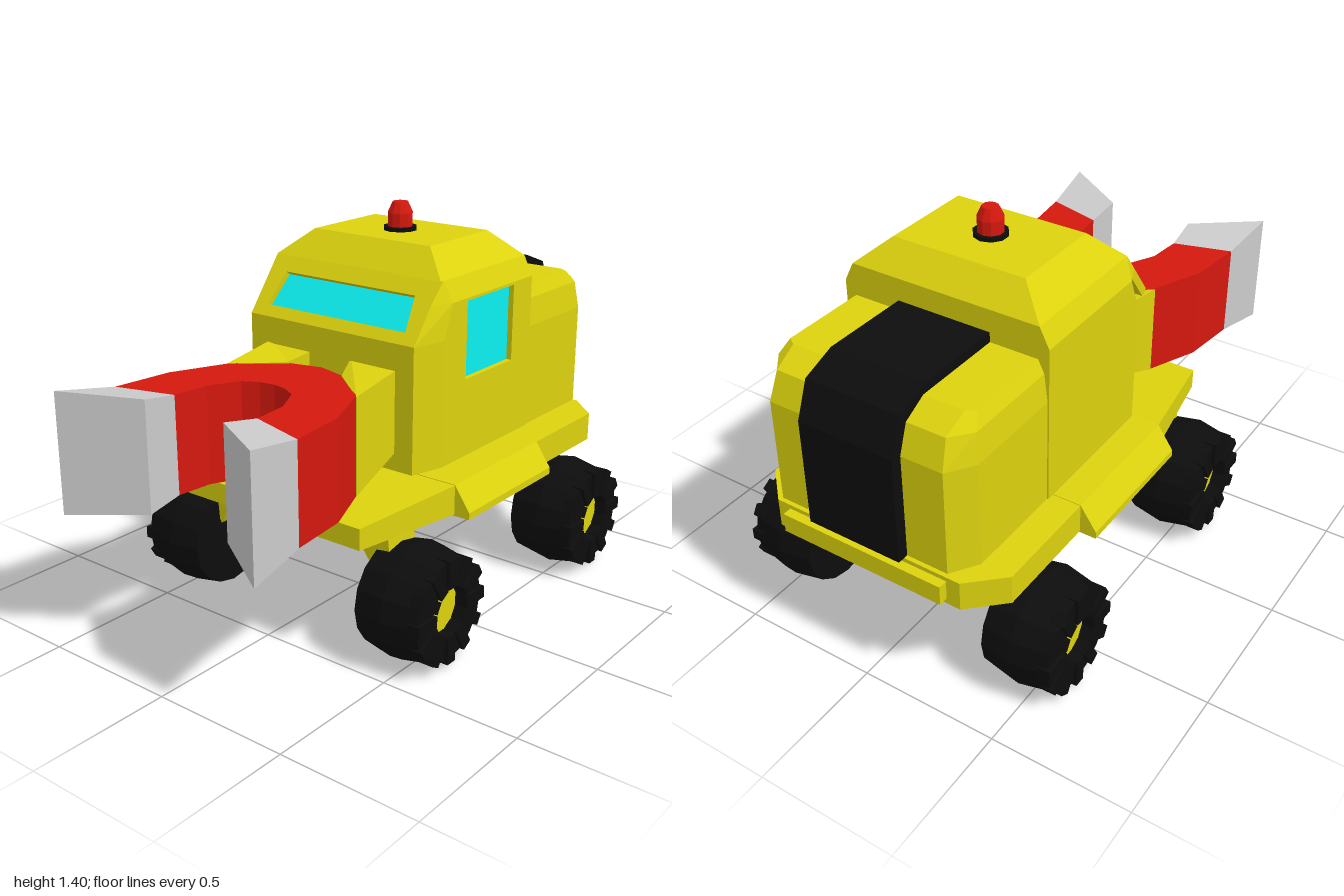
import * as THREE from 'three';

const mat = (color) => new THREE.MeshStandardMaterial({ color, flatShading: true });
const yellow = mat(0xdcd20e), black = mat(0x0d0d0d), red = mat(0xd4180e), cyan = mat(0x0cf0f0), grey = mat(0xcccccc);

// Skin a list of even-sided rings, each counter-clockwise seen from the far end; skip(i, j) leaves a face open
function loft(rings, skip = () => false) {
  const pos = [], n = rings[0].length;
  const quad = (a, b, c, d) => pos.push(...a, ...b, ...c, ...a, ...c, ...d);
  for (let i = 0; i < rings.length - 1; i++) {
    for (let j = 0; j < n; j++) {
      const k = (j + 1) % n;
      if (!skip(i, j)) quad(rings[i][j], rings[i][k], rings[i + 1][k], rings[i + 1][j]);
    }
  }
  // end caps as strips across the ring
  const first = rings[0], last = rings[rings.length - 1];
  for (let j = 0; j < n / 2 - 1; j++) {
    quad(last[j], last[j + 1], last[n - 2 - j], last[n - 1 - j]);
    quad(first[n - 1 - j], first[n - 2 - j], first[j + 1], first[j]);
  }
  const g = new THREE.BufferGeometry();
  g.setAttribute('position', new THREE.Float32BufferAttribute(pos, 3));
  g.computeVertexNormals();
  return g;
}

// Full ring from its left half, listed front to back
const mirrorX = ([x, y, z]) => [-x, y, z];
const fullRing = (half) => [...half, ...half.map(mirrorX).reverse()];
const level = (y, pts) => fullRing(pts.map(([x, z]) => [x, y, z]));
const flip = (rings) => rings.map((r) => r.map(mirrorX).reverse());

function polygon(points, Type = THREE.Shape) {
  return new Type(points.map(([x, y]) => new THREE.Vector2(x, y)));
}

function extrude(points, depth, hole) {
  const shape = polygon(points);
  if (hole) shape.holes.push(polygon(hole, THREE.Path));
  return new THREE.ExtrudeGeometry(shape, { depth, bevelEnabled: false });
}

function add(parent, name, geometry, material, x = 0, y = 0, z = 0) {
  const m = new THREE.Mesh(geometry, material);
  m.name = name;
  m.position.set(x, y, z);
  parent.add(m);
  return m;
}

function group(parent, name) {
  const g = new THREE.Group();
  g.name = name;
  parent.add(g);
  return g;
}

function buildChassis(root) {
  const g = group(root, 'chassis');
  const plate = (yFront, y) => fullRing([[0.4, yFront, 0.5], [0.475, y, 0.08], [0.475, y, -0.84], [0.36, y, -0.95]]);
  add(g, 'deck', loft([plate(0.44, 0.44), plate(0.515, 0.545)]), yellow);
  // side steps and belly share one profile
  const right = [[0.28, 0.39], [0.44, 0.435], [0.535, 0.435], [0.535, 0.46], [0.475, 0.547]];
  const profile = [...right, ...right.map(([x, y]) => [-x, y]).reverse()];
  add(g, 'sideSteps', extrude(profile, 0.525), yellow, 0, 0, -0.445);
  add(g, 'rearBumper', new THREE.BoxGeometry(0.62, 0.07, 0.06), yellow, 0, 0.495, -0.953);
  add(g, 'turntable', new THREE.CylinderGeometry(0.18, 0.18, 0.05, 12), yellow, 0, 0.56, -0.24);
}

function buildWheel(root, side, z) {
  const g = group(root, 'wheel');
  const outline = [[0, -0.115], [0.185, -0.115], [0.205, 0], [0.18, 0.13], [0.092, 0.13], [0.092, 0.07]];
  const tire = add(g, 'tire', new THREE.LatheGeometry(outline.map((p) => new THREE.Vector2(...p)), 16), black);
  tire.rotation.z = -Math.PI / 2;
  const hub = add(g, 'hub', new THREE.CylinderGeometry(0.094, 0.094, 0.02, 16), yellow, 0.085);
  hub.rotation.z = -Math.PI / 2;
  // raised blocks around the outer sidewall
  for (let i = 0; i < 12; i++) {
    const a = (i / 12) * Math.PI * 2;
    const lug = add(g, 'treadLug', new THREE.BoxGeometry(0.05, 0.1, 0.042), black, 0.118, Math.cos(a) * 0.136, Math.sin(a) * 0.136);
    lug.rotation.x = a;
  }
  g.position.set(side * 0.475, 0.208, z);
  g.scale.x = side;
}

function buildStrut(root, side, z) {
  const bottom = [[0.42, 0.2, z + 0.055], [0.42, 0.2, z - 0.055], [0.355, 0.275, z - 0.055], [0.355, 0.275, z + 0.055]];
  const top = [[0.41, 0.45, z + 0.075], [0.41, 0.45, z - 0.075], [0.25, 0.45, z - 0.075], [0.25, 0.45, z + 0.075]];
  const rings = [bottom, top];
  add(root, 'axleStrut', loft(side > 0 ? rings : flip(rings)), yellow);
}

function buildCab(root) {
  const g = group(root, 'cab');
  const rings = [
    level(0.575, [[0.355, 0.16], [0.39, 0.04], [0.39, -0.505]]),
    level(1.02, [[0.355, 0.16], [0.39, 0.04], [0.39, -0.505]]),
    level(1.14, [[0.355, 0.068], [0.39, -0.01], [0.39, -0.505]]),
    level(1.21, [[0.355, 0.015], [0.355, 0], [0.355, -0.505]]),
    level(1.3, [[0.25, -0.07], [0.25, -0.08], [0.25, -0.42]]),
  ];
  const openings = (i, j) => ((j === 1 || j === 4) && i < 2) || (j === 5 && (i === 1 || i === 2));
  add(g, 'cabShell', loft(rings, openings), yellow);

  // sloping front panel with a recessed windshield
  const front = group(g, 'windshieldPanel');
  const glass = [[-0.3, 0.044], [0.3, 0.044], [0.28, 0.176], [-0.28, 0.176]];
  add(front, 'windshieldFrame', extrude([[-0.355, 0], [0.355, 0], [0.355, 0.239], [-0.355, 0.239]], 0.03, glass), yellow, 0, 0, -0.03);
  add(front, 'windshield', extrude(glass, 0.01), cyan, 0, 0, -0.03);
  front.position.set(0, 1.02, 0.16);
  front.rotation.x = -Math.atan2(0.145, 0.19);

  // side walls with recessed windows
  const wall = [[-0.04, 0.575], [0.505, 0.575], [0.505, 1.14], [0.01, 1.14], [-0.04, 1.02]];
  const pane = [[0.095, 0.855], [0.385, 0.855], [0.385, 1.13], [0.095, 1.13]];
  for (const side of [1, -1]) {
    const s = group(g, side > 0 ? 'leftWall' : 'rightWall');
    s.scale.x = side;
    add(s, 'sideWall', extrude(wall, 0.03, pane), yellow, 0.36).rotation.y = Math.PI / 2;
    add(s, 'sideWindow', extrude(pane, 0.01), cyan, 0.36).rotation.y = Math.PI / 2;
  }

  // warning light on the roof
  add(g, 'beaconBase', new THREE.CylinderGeometry(0.06, 0.06, 0.016, 10), black, 0, 1.306, -0.24);
  const dome = [[0.046, 1.312], [0.046, 1.362], [0.028, 1.4], [0, 1.4]].map((p) => new THREE.Vector2(...p));
  add(g, 'beacon', new THREE.LatheGeometry(dome, 10), red, 0, 0, -0.24);
}

function buildHood(root) {
  const g = group(root, 'engineHood');
  add(g, 'hood', loft([
    level(0.575, [[0.385, -0.5], [0.385, -0.87], [0.325, -0.96]]),
    level(0.95, [[0.385, -0.5], [0.385, -0.87], [0.325, -0.96]]),
    level(1.05, [[0.372, -0.5], [0.372, -0.855], [0.315, -0.925]]),
    level(1.095, [[0.35, -0.5], [0.35, -0.82], [0.32, -0.84]]),
  ]), yellow);
  // raised black band over the top and down the back
  const band = [[0.5, 0.575], [1, 0.575], [1, 0.96], [0.95, 1.085], [0.83, 1.13], [0.5, 1.13]];
  add(g, 'hoodBand', extrude(band, 0.35), black, -0.175).rotation.y = Math.PI / 2;
}

function buildMagnet(root) {
  const g = group(root, 'magnet');
  // [inner x, inner z, outer x, outer z] from the left pole to the middle
  const section = ([xi, zi, xo, zo], lo = 0.55, hi = 0.895, flare = 0) => [
    [xi, lo, zi], [xi, hi, zi], [xo, hi + flare, zo], [xo, lo - flare, zo]];
  const half = [
    [0.178, 0.715, 0.39, 0.775], [0.165, 0.585, 0.365, 0.56],
    [0.11, 0.48, 0.28, 0.365], [0.055, 0.45, 0.15, 0.238]];
  const mirrored = half.map(([a, b, c, d]) => [-a, b, -c, d]).reverse();
  const path = [...half, [0, 0.44, 0, 0.2], ...mirrored];
  add(g, 'magnetBow', loft(path.map((p) => section(p))), red);
  const tip = [section([0.168, 0.85, 0.415, 1], 0.53, 0.918, 0.016), section(half[0])];
  add(g, 'leftPole', loft(tip), grey);
  add(g, 'rightPole', loft(flip(tip)), grey);
  // brackets joining the bow to the cab
  const bracket = [
    [[0.285, 0.552, 0.37], [0.28, 0.645, 0.14], [0.08, 0.645, 0.14], [0.12, 0.59, 0.24]],
    [[0.285, 0.893, 0.37], [0.28, 0.93, 0.14], [0.08, 0.93, 0.14], [0.12, 0.9, 0.24]]];
  add(g, 'leftBracket', loft(bracket), yellow);
  add(g, 'rightBracket', loft(flip(bracket)), yellow);
}

export function createModel() {
  const root = new THREE.Group();
  root.name = 'magnetTruck';
  buildChassis(root);
  for (const side of [1, -1]) {
    for (const z of [0.29, -0.665]) {
      buildWheel(root, side, z);
      buildStrut(root, side, z);
    }
  }
  buildCab(root);
  buildHood(root);
  buildMagnet(root);
  return root;
}
